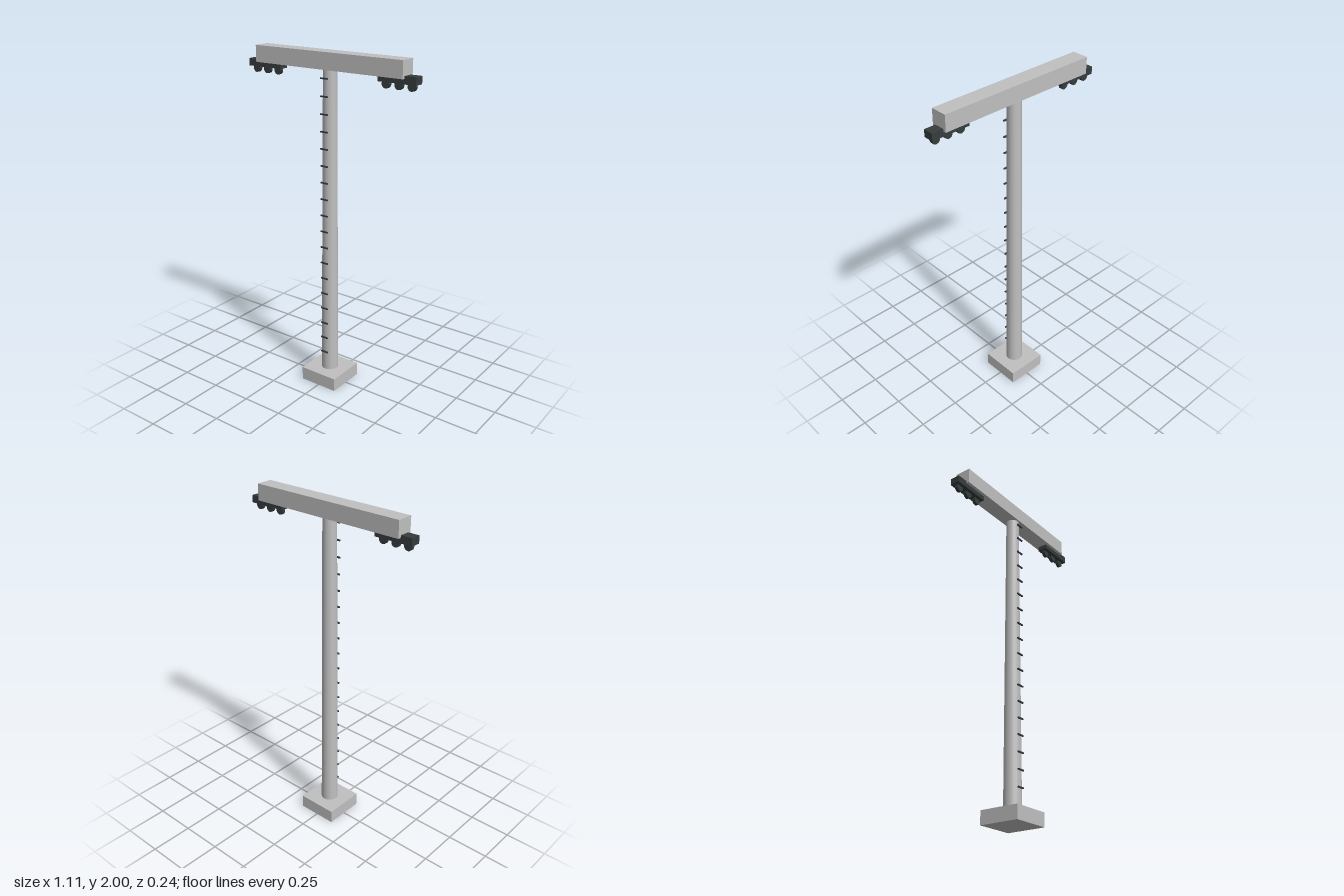
import * as THREE from 'three';

export function createModel() {
  const model = new THREE.Group();
  const concrete = new THREE.MeshStandardMaterial({ color: 0xc0c0c0 });
  concrete.name = 'light grey';
  const iron = new THREE.MeshStandardMaterial({ color: 0x363c3c });
  iron.name = 'dark grey';

  function add(parent, name, geometry, material, x, y, z) {
    const mesh = new THREE.Mesh(geometry, material);
    mesh.name = name;
    mesh.position.set(x, y, z);
    parent.add(mesh);
    return mesh;
  }

  // Footing, tapered column and crossbeam
  add(model, 'footing', new THREE.BoxGeometry(0.242, 0.08, 0.242), concrete, 0, 0.04, 0);
  add(model, 'column', new THREE.CylinderGeometry(0.039, 0.051, 1.83, 24), concrete, 0, 0.99, 0);
  add(model, 'crossbeam', new THREE.BoxGeometry(0.972, 0.095, 0.097), concrete, 0, 1.9525, 0);

  // Ladder rungs up the front of the column
  const rungs = new THREE.Group();
  rungs.name = 'ladderRungs';
  const rungGeometry = new THREE.BoxGeometry(0.048, 0.008, 0.008);
  for (let i = 0; i < 18; i++) {
    add(rungs, 'rung', rungGeometry, iron, 0, 0.2 + i * 0.0977, 0.055);
  }
  model.add(rungs);

  // Pulley carrier under each end of the beam, with three wheels
  const wheelGeometry = new THREE.CylinderGeometry(0.024, 0.024, 0.02, 16).rotateX(Math.PI / 2);
  for (const side of [-1, 1]) {
    const carrier = new THREE.Group();
    carrier.name = side > 0 ? 'leftPulleyCarrier' : 'rightPulleyCarrier';
    carrier.position.set(side * 0.439, 0, 0);
    add(carrier, 'carrierBlock', new THREE.BoxGeometry(0.23, 0.042, 0.06), iron, 0, 1.898, 0);
    for (const x of [-0.078, 0, 0.078]) {
      add(carrier, 'pulleyWheel', wheelGeometry, iron, x, 1.864, 0);
    }
    model.add(carrier);
  }

  return model;
}
